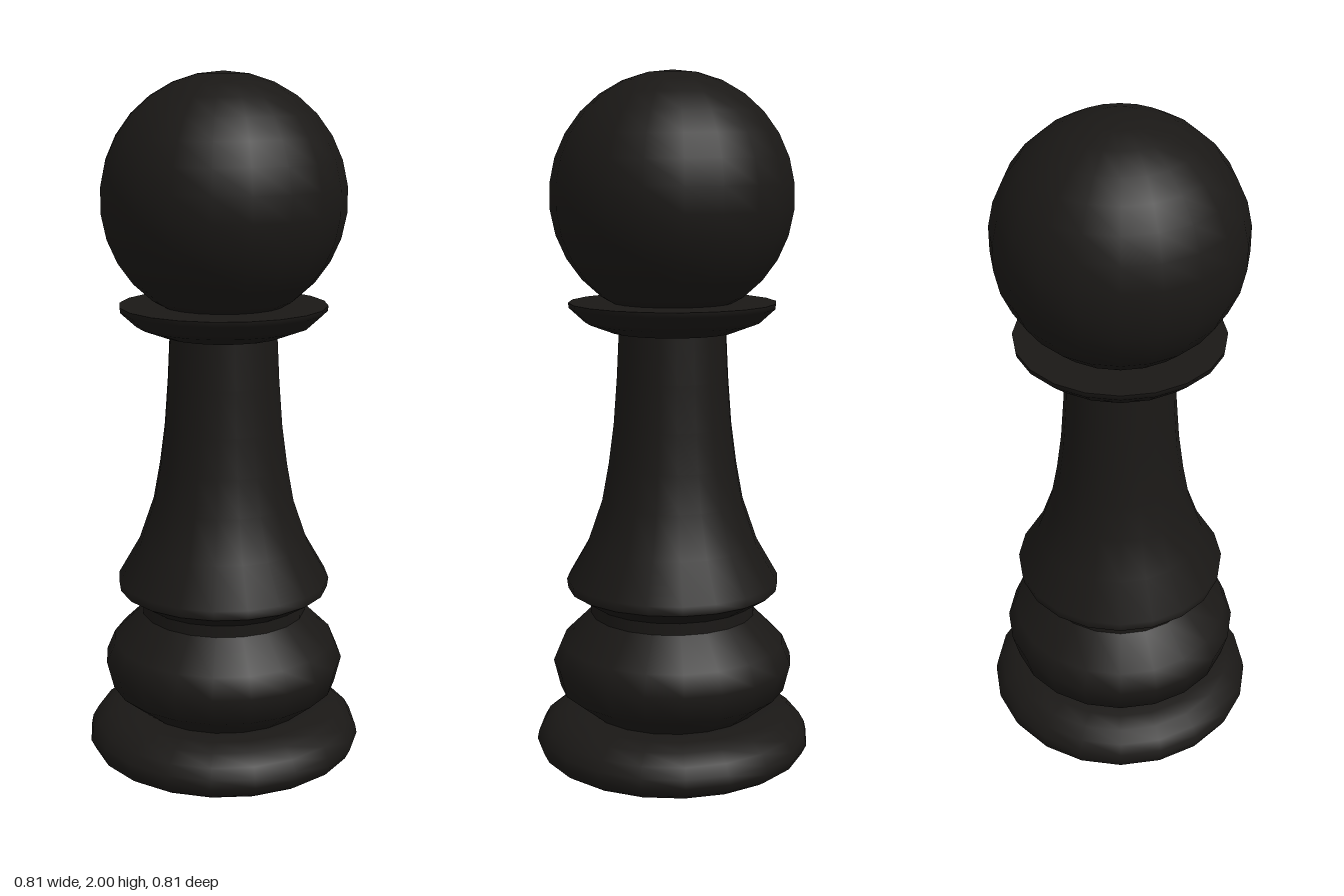
import * as THREE from 'three';

const SIDES = 20;

export function createModel() {
  const model = new THREE.Group();
  const black = new THREE.MeshStandardMaterial({ color: 0x1a1816, side: THREE.DoubleSide });

  const add = (name, geometry, y = 0) => {
    const mesh = new THREE.Mesh(geometry, black);
    mesh.name = name;
    mesh.position.y = y;
    model.add(mesh);
  };

  // Turned part from [radius, height] pairs, listed bottom to top
  const turn = (name, profile) =>
    add(name, new THREE.LatheGeometry(profile.map(([r, y]) => new THREE.Vector2(r, y)), SIDES));

  // Hollow foot, open underneath
  turn('foot', [[0.375, 0], [0.393, 0.012], [0.407, 0.04], [0.402, 0.065], [0.385, 0.095],
    [0.35, 0.122], [0.305, 0.136], [0.25, 0.14]]);

  // Floor of the body, seen inside the hollow foot
  turn('bodyFloor', [[0, 0.14], [0.255, 0.14]]);

  // Bulge above the foot
  turn('lowerBulge', [[0.255, 0.14], [0.335, 0.205], [0.355, 0.285], [0.33, 0.345], [0.243, 0.43]]);

  // Narrow waist
  turn('waist', [[0.243, 0.43], [0.243, 0.465]]);

  // Flared skirt running up into the slim stem
  turn('skirtUnderside', [[0.225, 0.462], [0.243, 0.465], [0.309, 0.507]]);
  turn('stem', [[0.309, 0.507], [0.313, 0.535], [0.25, 0.645], [0.207, 0.77], [0.187, 0.88],
    [0.172, 0.995], [0.162, 1.13], [0.155, 1.275]]);

  // Collar with a rounded underside and a flat top
  turn('collar', [[0.15, 1.265], [0.18, 1.266], [0.252, 1.293], [0.298, 1.335], [0.3, 1.35]]);
  turn('collarTop', [[0.3, 1.35], [0.12, 1.35]]);

  // Ball head
  add('head', new THREE.SphereGeometry(0.35, SIDES, 15), 1.65);

  return model;
}
